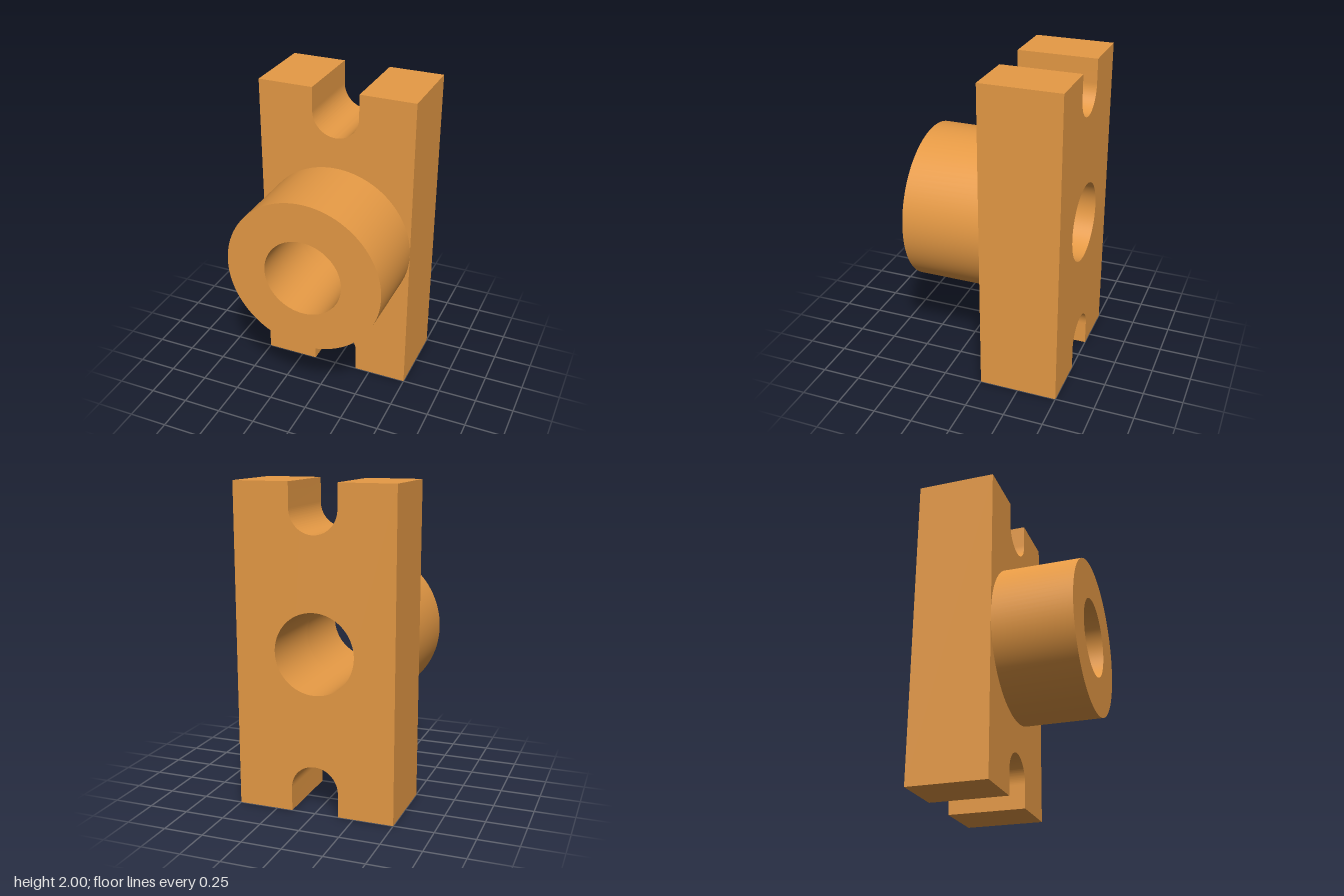
import * as THREE from 'three';
import { toCreasedNormals } from 'three/addons/utils/BufferGeometryUtils.js';

const WIDTH = 1, HEIGHT = 2, DEPTH = 0.5;
const BORE = 0.25, COLLAR = 0.5, SLOT = 0.15;
const CREASE = 0.5;

export function createModel() {
  const group = new THREE.Group();
  group.name = 'flangedBearing';
  const material = new THREE.MeshStandardMaterial({ color: 0xe69a45 });

  const add = (name, geometry) => {
    const mesh = new THREE.Mesh(toCreasedNormals(geometry, CREASE), material);
    mesh.name = name;
    group.add(mesh);
    return mesh;
  };

  // Mounting plate: round-ended slots open at top and bottom, bore through the middle
  const w = WIDTH / 2;
  const plate = new THREE.Shape();
  plate.moveTo(-w, 0);
  plate.lineTo(-SLOT, 0);
  plate.lineTo(-SLOT, SLOT);
  plate.absarc(0, SLOT, SLOT, Math.PI, 0, true);
  plate.lineTo(SLOT, 0);
  plate.lineTo(w, 0);
  plate.lineTo(w, HEIGHT);
  plate.lineTo(SLOT, HEIGHT);
  plate.lineTo(SLOT, HEIGHT - SLOT);
  plate.absarc(0, HEIGHT - SLOT, SLOT, 0, -Math.PI, true);
  plate.lineTo(-SLOT, HEIGHT);
  plate.lineTo(-w, HEIGHT);
  plate.closePath();
  const bore = new THREE.Path();
  bore.absarc(0, HEIGHT / 2, BORE, 0, Math.PI * 2, true);
  plate.holes.push(bore);
  add('mountingPlate', new THREE.ExtrudeGeometry(plate, {
    depth: DEPTH, bevelEnabled: false, curveSegments: 48,
  })).position.z = -DEPTH;

  // Collar: outer wall, front ring and bore wall, standing on the plate's front
  const profile = [[COLLAR, 0], [COLLAR, DEPTH], [BORE, DEPTH], [BORE, 0]]
    .map(([r, y]) => new THREE.Vector2(r, y));
  const collar = add('collar', new THREE.LatheGeometry(profile, 96));
  collar.rotation.x = Math.PI / 2;
  collar.position.y = HEIGHT / 2;

  return group;
}
